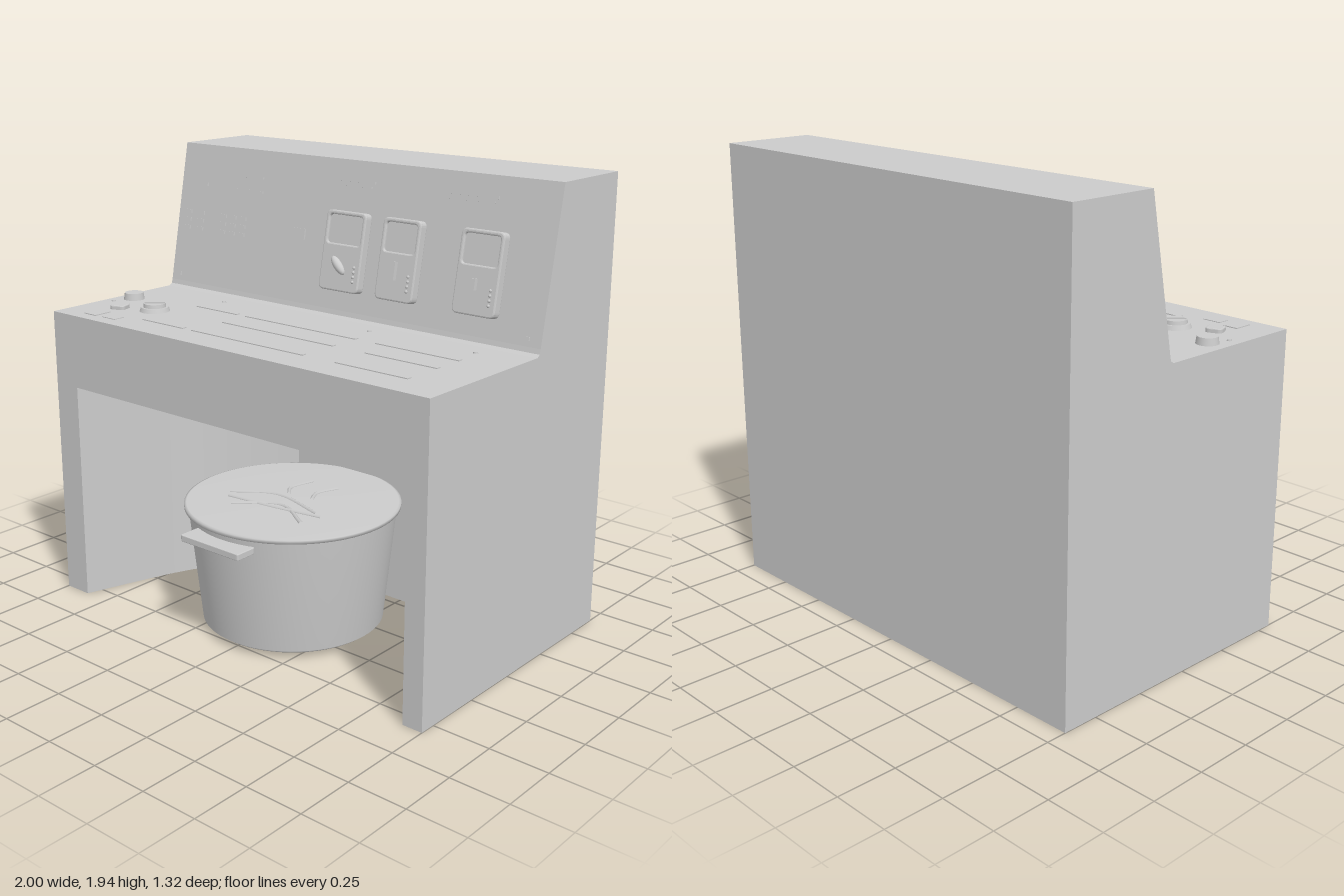
import * as THREE from 'three';

const mat = new THREE.MeshStandardMaterial({ color: 0xcccccc });

function add(parent, name, geo, x = 0, y = 0, z = 0) {
  const mesh = new THREE.Mesh(geo, mat);
  mesh.name = name;
  mesh.position.set(x, y, z);
  parent.add(mesh);
  return mesh;
}

const box = (w, h, d) => new THREE.BoxGeometry(w, h, d);

function roundedRect(w, h, r, Type = THREE.Shape) {
  const s = new Type(), a = w / 2, b = h / 2;
  s.moveTo(-a + r, -b);
  s.lineTo(a - r, -b).quadraticCurveTo(a, -b, a, -b + r);
  s.lineTo(a, b - r).quadraticCurveTo(a, b, a - r, b);
  s.lineTo(-a + r, b).quadraticCurveTo(-a, b, -a, b - r);
  s.lineTo(-a, -b + r).quadraticCurveTo(-a, -b, -a + r, -b);
  return s;
}

const extrude = (shape, depth, bevel = 0) => new THREE.ExtrudeGeometry(shape, {
  depth, curveSegments: 6, bevelEnabled: bevel > 0, bevelThickness: bevel,
  bevelSize: bevel, bevelOffset: -bevel, bevelSegments: 2,
});

// Cabinet: upper console with a sloped panel, over legs around a curved alcove
function buildCabinet(parent) {
  const profile = [[0.57, 0.97], [0.57, 1.29], [-0.12, 1.29], [-0.135, 1.3], [-0.14, 1.32],
    [-0.26, 1.94], [-0.66, 1.94], [-0.66, 0.97]].map(p => new THREE.Vector2(...p));
  const upper = extrude(new THREE.Shape(profile), 2);
  upper.rotateY(-Math.PI / 2).translate(1, 0, 0);
  add(parent, 'console', upper);

  const curve = (pts) => new THREE.SplineCurve(pts.map(p => new THREE.Vector2(p[0], -p[1]))).getPoints(14);
  const leftWall = curve([[0.91, 0.57], [0.75, 0.12], [0.57, -0.12], [0.36, -0.29]]);
  const rightWall = curve([[-0.35, -0.29], [-0.55, -0.12], [-0.71, 0.1], [-0.87, 0.57]]);
  const plan = new THREE.Shape([
    new THREE.Vector2(-1, 0.66), new THREE.Vector2(-1, -0.57), ...rightWall.reverse(),
    ...leftWall.reverse(), new THREE.Vector2(1, -0.57), new THREE.Vector2(1, 0.66)]);
  const lower = extrude(plan, 0.97);
  lower.rotateX(-Math.PI / 2);
  add(parent, 'base', lower);
}

// One panel meter: rounded case with a sunken window, dots and a control
function buildMeter(panel, x, w, control) {
  const g = new THREE.Group();
  g.name = 'meter';
  g.position.set(x, 0.25, 0);
  panel.add(g);
  const h = 0.335;
  const face = roundedRect(w, h, 0.025);
  const hole = roundedRect(w - 0.035, 0.12, 0.015, THREE.Path);
  const pts = hole.getPoints(6).map(p => p.add(new THREE.Vector2(0, 0.09)));
  face.holes.push(new THREE.Path(pts));
  add(g, 'meterCase', extrude(face, 0.032, 0.006), 0, 0, 0.006);
  add(g, 'meterWindow', box(w - 0.025, 0.13, 0.032), 0, 0.09, 0.016);
  for (let i = 0; i < 4; i++) {
    add(g, 'meterDot', new THREE.SphereGeometry(0.007, 8, 6), w / 2 - 0.03, -0.06 - i * 0.02, 0.044);
  }
  if (control === 'lever') {
    const lever = add(g, 'meterLever', new THREE.SphereGeometry(1, 16, 10), -0.01, -0.06, 0.045);
    lever.scale.set(0.05, 0.02, 0.02);
    lever.rotation.z = -0.75;
  } else {
    add(g, 'meterSwitch', box(0.02, control, 0.025), -0.005, -0.045, 0.05);
  }
}

// Sloped panel details; local z points out of the panel
function buildPanel(parent) {
  const panel = new THREE.Group();
  panel.name = 'panelDetails';
  panel.position.set(0, 1.32, -0.14);
  panel.rotation.x = -Math.atan2(0.12, 0.62);
  parent.add(panel);
  buildMeter(panel, 0.02, 0.21, 'lever');
  buildMeter(panel, 0.31, 0.19, 0.075);
  buildMeter(panel, 0.7, 0.2, 0.045);

  // x, world height, width, height of each raised strip
  const strips = [[-0.62, 1.82, 0.24, 0.008], [-0.62, 1.76, 0.25, 0.008],
    [0.02, 1.855, 0.2, 0.012], [0.02, 1.835, 0.17, 0.008],
    [0.595, 1.855, 0.26, 0.012], [0.6, 1.835, 0.22, 0.008],
    [-0.26, 1.61, 0.07, 0.045], [-0.84, 1.765, 0.015, 0.015],
    [-0.95, 1.35, 0.015, 0.015], [0.94, 1.35, 0.015, 0.015]];
  for (const [x, y, w, h] of strips) {
    add(panel, 'panelStrip', box(w, h, 0.012), x, (y - 1.32) * 1.02, 0.002);
  }
  // Blocks of small switches
  for (const x of [-0.94, -0.86, -0.72, -0.66, -0.6]) {
    for (let r = 0; r < 3; r++) {
      add(panel, 'smallSwitch', box(0.045, 0.016, 0.012), x, 0.25 + r * 0.036, 0.001);
    }
  }
}

// Desk top: long slots, knobs and buttons
function buildDesk(parent) {
  const top = 1.29;
  const slots = [[0.1, -0.59, -0.35], [0.1, -0.3, 0.3], [0.1, 0.4, 0.8], [0.24, -0.3, 0.3],
    [0.24, 0.46, 0.8], [0.42, -0.59, -0.35], [0.42, -0.3, 0.3], [0.42, 0.46, 0.8]];
  for (const [z, x0, x1] of slots) {
    add(parent, 'deskSlot', box(x1 - x0, 0.008, 0.022), (x0 + x1) / 2, top, z);
  }
  const knob = (name, r, h, x, z) =>
    add(parent, name, new THREE.CylinderGeometry(r * 0.9, r, h, 28), x, top + h / 2, z);
  knob('roundButton', 0.046, 0.03, -0.915, 0.18);
  knob('dialBase', 0.066, 0.018, -0.675, 0.28);
  knob('dial', 0.052, 0.034, -0.675, 0.28);
  const grip = add(parent, 'dialGrip', box(0.085, 0.012, 0.018), -0.675, top + 0.034, 0.28);
  grip.rotation.y = 0.7;
  const key = extrude(roundedRect(0.07, 0.07, 0.02), 0.014, 0.004);
  key.rotateX(-Math.PI / 2);
  add(parent, 'squareButton', key, -0.825, top, 0.345).rotation.y = 0.35;
  add(parent, 'deskPlate', box(0.07, 0.008, 0.085), -0.83, top, 0.47);
  add(parent, 'deskPlate', box(0.08, 0.006, 0.055), -0.72, top, 0.48);
  for (const [x, z] of [[-0.95, 0.27], [-0.56, -0.03], [0.26, -0.03], [0.78, -0.03]]) {
    knob('screw', 0.01, 0.006, x, z);
  }
}

// Tapered tub stool with a lip, a handle and shallow relief on the lid
function buildStool(parent) {
  const stool = new THREE.Group();
  stool.name = 'stool';
  stool.position.z = 0.15;
  parent.add(stool);
  const wall = [[0, 0.02], [0.37, 0.02], [0.39, 0.035], [0.442, 0.53]];
  const lid = [[0.442, 0.53], [0.46, 0.535], [0.46, 0.55], [0.45, 0.553], [0.25, 0.558], [0, 0.56]];
  const lathe = (pts) => new THREE.LatheGeometry(pts.map(p => new THREE.Vector2(...p)), 64);
  add(stool, 'tub', lathe(wall));
  add(stool, 'lid', lathe(lid));
  const handle = extrude(roundedRect(0.32, 0.1, 0.01), 0.022, 0.003);
  handle.rotateX(-Math.PI / 2);
  add(stool, 'handle', handle, 0, 0.48, 0.46);

  // Curved ridges on the lid
  const ridges = [
    [[-0.25, 0.12], [-0.08, 0.02], [0.2, 0.08]], [[-0.22, 0.16], [0, 0.14], [0.24, 0.1]],
    [[-0.06, -0.2], [-0.08, -0.08], [-0.04, -0.02]], [[0.08, -0.2], [0.05, -0.1], [0.08, -0.03]],
    [[-0.15, 0.22], [0.02, 0.1], [0.22, 0.2]]];
  for (const r of ridges) {
    const path = new THREE.CatmullRomCurve3(r.map(([x, z]) => new THREE.Vector3(x, 0.558, z)));
    add(stool, 'lidRidge', new THREE.TubeGeometry(path, 16, 0.009, 6));
  }
}

export function createModel() {
  const model = new THREE.Group();
  model.name = 'consoleDesk';
  buildCabinet(model);
  buildPanel(model);
  buildDesk(model);
  buildStool(model);
  return model;
}
